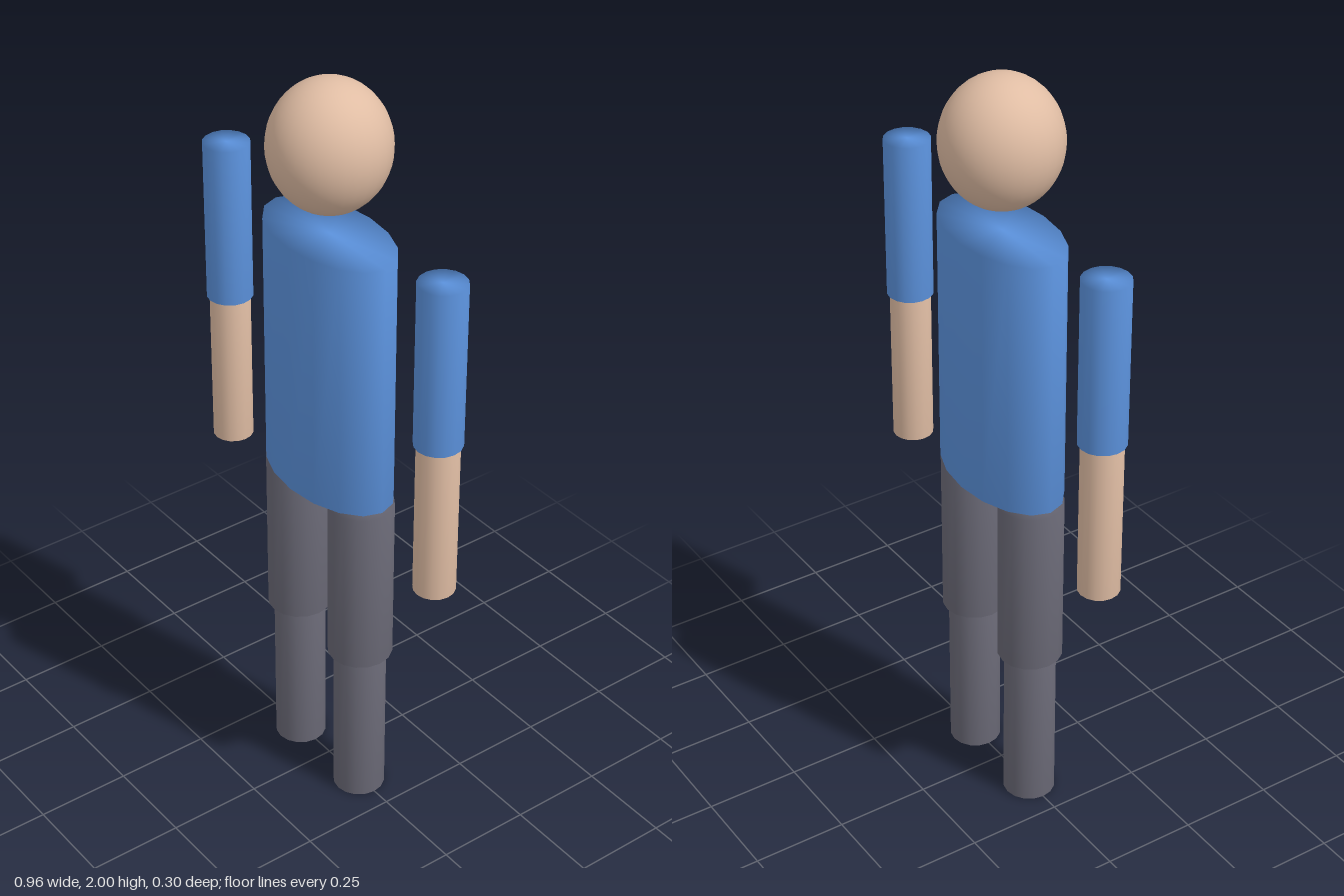
import * as THREE from 'three';
import { mergeVertices } from 'three/addons/utils/BufferGeometryUtils.js';

const material = (name, color) => {
  const m = new THREE.MeshStandardMaterial({ color });
  m.name = name;
  return m;
};

// Capped cylinder between two heights, shaded smoothly over its rims
function softCylinder(rx, rz, bottom, top) {
  let g = new THREE.CylinderGeometry(1, 1, top - bottom, 16);
  g.scale(rx, 1, rz);
  g.translate(0, (top + bottom) / 2, 0);
  g.deleteAttribute('normal');
  g.deleteAttribute('uv');
  g = mergeVertices(g, 1e-4);
  g.computeVertexNormals();
  return g;
}

export function createModel() {
  const skin = material('skin', 0xe0bda4);
  const shirt = material('blue shirt', 0x5c93de);
  const trousers = material('grey trousers', 0x6b6a77);

  const model = new THREE.Group();
  model.name = 'figure';
  const add = (name, geometry, mat, x = 0) => {
    const mesh = new THREE.Mesh(geometry, mat);
    mesh.name = name;
    mesh.position.x = x;
    model.add(mesh);
  };

  // Head: slightly tall ball
  const head = new THREE.SphereGeometry(1, 32, 24);
  head.scale(0.15, 0.165, 0.15);
  head.translate(0, 1.835, 0);
  add('head', head, skin);

  // Torso: elliptical column
  add('torso', softCylinder(0.215, 0.12, 0.92, 1.605), shirt);

  // Limbs, mirrored left and right
  for (const [side, s] of [['left', 1], ['right', -1]]) {
    add(side + 'UpperArm', softCylinder(0.06, 0.06, 1.238, 1.67), shirt, s * 0.42);
    add(side + 'Forearm', softCylinder(0.053, 0.053, 0.82, 1.24), skin, s * 0.42);
    add(side + 'Thigh', softCylinder(0.084, 0.084, 0.445, 0.905), trousers, s * 0.13);
    add(side + 'Shin', softCylinder(0.068, 0.068, 0, 0.447), trousers, s * 0.13);
  }
  return model;
}
